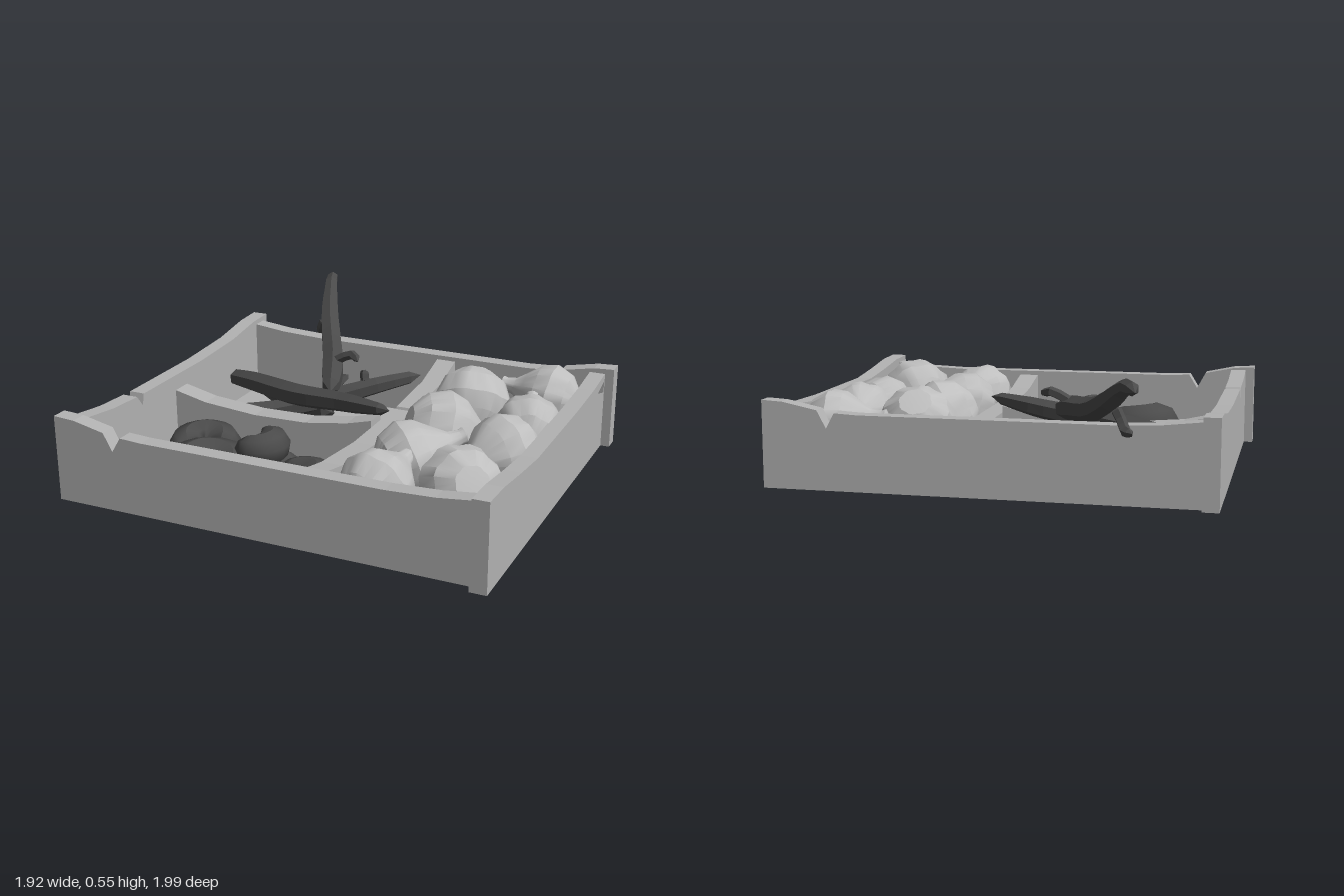
import * as THREE from 'three';
import { toCreasedNormals } from 'three/addons/utils/BufferGeometryUtils.js';

const mat = (name, color, extra = {}) => {
  const m = new THREE.MeshStandardMaterial({ color, ...extra });
  m.name = name;
  return m;
};

export function createModel() {
  const group = new THREE.Group();
  const wood = mat('wood', 0xb2b2b2);
  const skin = mat('garlic skin', 0xbebebe);
  const pod = mat('dark pod', 0x4a4a4a, { flatShading: true });
  const nut = mat('dark nut', 0x4a4a4a);

  const add = (name, geo, material, parent = group) => {
    const mesh = new THREE.Mesh(geo, material);
    mesh.name = name;
    parent.add(mesh);
    return mesh;
  };

  // A board cut from a top outline; it runs along x, or along z when turned
  const board = (name, top, bottom, depth, offset, turned, hole) => {
    const shape = new THREE.Shape();
    shape.moveTo(top[0][0], bottom);
    top.forEach(([u, y]) => shape.lineTo(u, y));
    shape.lineTo(top[top.length - 1][0], bottom);
    if (hole) shape.holes.push(new THREE.Path(hole.map(([u, y]) => new THREE.Vector2(u, y))));
    const geo = new THREE.ExtrudeGeometry(shape, { depth, bevelEnabled: false });
    if (turned) geo.rotateY(-Math.PI / 2).translate(offset + depth, 0, 0);
    else geo.translate(0, 0, offset);
    return add(name, geo, wood);
  };

  // Crate walls with worn tops and split notches
  board('frontWall', [[-0.965, 0.39], [-0.87, 0.385], [-0.73, 0.355], [-0.69, 0.28], [-0.65, 0.345], [-0.55, 0.34],
    [0.5, 0.34], [0.7, 0.348], [0.85, 0.365]], 0.02, 0.07, 0.89, false);
  board('backWall', [[-0.855, 0.365], [-0.7, 0.348], [-0.5, 0.34], [0.55, 0.34], [0.645, 0.345], [0.68, 0.28],
    [0.72, 0.355], [0.87, 0.385], [0.96, 0.39]], 0.02, 0.07, -0.6, false);
  board('rightWall', [[-0.635, 0.39], [-0.5, 0.385], [-0.3, 0.355], [0, 0.34], [0.478, 0.34], [0.49, 0.29],
    [0.53, 0.342], [0.7, 0.35], [0.89, 0.375]], 0.02, 0.07, -0.925, true);
  board('leftWall', [[-0.53, 0.365], [-0.35, 0.348], [-0.1, 0.34], [0.45, 0.34], [0.65, 0.36], [0.85, 0.385],
    [1, 0.39]], 0.02, 0.07, 0.85, true, [[-0.42, 0.308], [-0.522, 0.28], [-0.522, 0.335]]);

  // Floor and dividers
  const floor = add('floor', new THREE.BoxGeometry(1.705, 0.01, 1.42), wood);
  floor.position.set(-0.0025, 0.031, 0.18);
  board('longDivider', [[-0.53, 0.32], [-0.35, 0.27], [-0.05, 0.25], [-0.035, 0.21], [-0.02, 0.25], [0.4, 0.25],
    [0.7, 0.28], [0.89, 0.32]], 0.025, 0.09, 0.115, true);
  board('crossDivider', [[-0.855, 0.27], [-0.7, 0.235], [-0.45, 0.215], [-0.2, 0.22], [0, 0.25], [0.115, 0.28]],
    0.025, 0.095, 0.13, false);

  // Tapered tube whose radius follows a list of values; the ends are capped
  const taperedTube = (points, radii, segments, sides) => {
    const curve = new THREE.CatmullRomCurve3(points.map((p) => new THREE.Vector3(...p)));
    const geo = new THREE.TubeGeometry(curve, segments, 1, sides, false);
    const pos = geo.attributes.position;
    const v = new THREE.Vector3();
    for (let i = 0; i <= segments; i++) {
      const centre = curve.getPointAt(i / segments);
      const end = i === 0 || i === segments;
      const inner = Math.min(Math.max(i, 1), segments - 1);
      const target = end ? centre.clone().lerp(curve.getPointAt(inner / segments), 0.3) : centre;
      const t = (i / segments) * (radii.length - 1);
      const k = Math.min(Math.floor(t), radii.length - 2);
      const r = end ? 0 : THREE.MathUtils.lerp(radii[k], radii[k + 1], t - k);
      for (let j = 0; j <= sides; j++) {
        const n = i * (sides + 1) + j;
        v.fromBufferAttribute(pos, n).sub(centre).multiplyScalar(r).add(target);
        pos.setXYZ(n, v.x, v.y, v.z);
      }
    }
    geo.computeVertexNormals();
    return geo;
  };

  // Long dark pods piled in the back compartment
  const pods = new THREE.Group();
  pods.name = 'pods';
  group.add(pods);
  [
    [[[-0.17, 0.29, 0.04], [-0.28, 0.34, -0.22], [-0.4, 0.375, -0.45], [-0.49, 0.44, -0.62], [-0.57, 0.515, -0.8],
      [-0.605, 0.535, -0.88], [-0.65, 0.525, -1.01]], [0.035, 0.055, 0.052, 0.05, 0.045, 0.032, 0.024]],
    [[[-0.84, 0.05, -0.52], [-0.68, 0.06, -0.42], [-0.45, 0.1, -0.27], [-0.25, 0.12, -0.16]],
      [0.03, 0.05, 0.065, 0.055, 0.04]],
    [[[0.07, 0.25, -0.5], [-0.1, 0.22, -0.35], [-0.35, 0.15, -0.2], [-0.62, 0.1, -0.04], [-0.86, 0.09, 0.13]],
      [0.025, 0.04, 0.05, 0.045, 0.06, 0.03]],
    [[[-0.86, 0.19, -0.24], [-0.65, 0.22, -0.14], [-0.35, 0.25, 0], [-0.1, 0.28, 0.07], [0.2, 0.32, 0.18]],
      [0.035, 0.05, 0.055, 0.05, 0.042, 0.02]],
  ].forEach(([path, radii]) => add('pod', taperedTube(path, radii, 14, 6), pod, pods));

  // Short stubs and hooked stems on the pods
  [
    [[-0.3, 0.33, -0.2], [-0.23, 0.38, -0.2], [-0.17, 0.405, -0.2], [-0.12, 0.38, -0.16]],
    [[-0.5, 0.43, -0.6], [-0.54, 0.36, -0.62], [-0.56, 0.33, -0.66], [-0.6, 0.33, -0.72]],
    [[-0.34, 0.16, -0.28], [-0.31, 0.2, -0.34], [-0.28, 0.23, -0.4]],
    [[-0.16, 0.23, -0.32], [-0.17, 0.27, -0.33], [-0.17, 0.29, -0.34]],
  ].forEach((path) => add('podStem', taperedTube(path, [0.025, 0.022, 0.022, 0.016], 6, 5), pod, pods));

  // Curled nuts: x, y, z, outer radius, bite direction in the plan
  const nuts = new THREE.Group();
  nuts.name = 'nuts';
  group.add(nuts);
  [
    [-0.61, 0.1, 0.39, 0.17, 1.1], [-0.26, 0.085, 0.34, 0.13, -0.9], [-0.28, 0.21, 0.5, 0.135, 3.3],
    [-0.06, 0.1, 0.58, 0.175, 2.5], [-0.42, 0.12, 0.67, 0.215, 0.75], [-0.73, 0.085, 0.74, 0.135, 0],
    [-0.2, 0.085, 0.75, 0.135, 2.7],
  ].forEach(([x, y, z, r, bite]) => {
    const path = [];
    for (let i = 0; i <= 8; i++) {
      const a = bite + 0.85 + (i / 8) * (2 * Math.PI - 1.7);
      path.push([Math.cos(a) * r * 0.48, 0, Math.sin(a) * r * 0.48]);
    }
    const w = r * 0.53;
    const geo = taperedTube(path, [w * 0.5, w * 0.9, w, w * 1.05, w, w * 0.9, w * 0.5], 14, 9);
    add('nut', geo, nut, nuts).position.set(x, y, z);
  });

  // Garlic bulbs: lobed lathe with a neck along +y
  const profile = [[0, -0.85], [0.4, -0.82], [0.8, -0.52], [1, 0], [0.87, 0.42], [0.52, 0.82], [0.27, 1.12],
    [0.2, 1.4], [0.22, 1.52], [0, 1.6]].map(([x, y]) => new THREE.Vector2(x, y));
  const lathe = new THREE.LatheGeometry(profile, 24);
  const lp = lathe.attributes.position;
  for (let i = 0; i < lp.count; i++) {
    const x = lp.getX(i), z = lp.getZ(i);
    const k = 0.93 + 0.07 * Math.abs(Math.sin(Math.atan2(z, x) * 4));
    lp.setXYZ(i, x * k, lp.getY(i), z * k);
  }
  const bulb = toCreasedNormals(lathe, 0.55);
  const bulbs = new THREE.Group();
  bulbs.name = 'garlicBulbs';
  group.add(bulbs);
  const up = new THREE.Vector3(0, 1, 0);
  [
    [0.4, 0.25, -0.24, 0.178, [0.1, -0.6, 0.5]], [0.71, 0.27, -0.4, 0.148, [-1, 0.15, 0.02]],
    [0.72, 0.25, -0.06, 0.15, [-0.25, 0.25, -1]], [0.375, 0.23, 0.08, 0.178, [0.8, -0.3, -0.5]],
    [0.7, 0.23, 0.19, 0.165, [-0.5, -0.1, 0.75]], [0.37, 0.23, 0.42, 0.165, [0.75, 0.3, -0.65]],
    [0.68, 0.25, 0.64, 0.175, [-0.5, -0.45, -0.6]], [0.365, 0.23, 0.73, 0.16, [0.22, 0.3, -1]],
  ].forEach(([x, y, z, r, dir]) => {
    const mesh = add('garlicBulb', bulb, skin, bulbs);
    mesh.position.set(x, y, z);
    mesh.scale.setScalar(r);
    mesh.quaternion.setFromUnitVectors(up, new THREE.Vector3(...dir).normalize());
  });

  return group;
}
